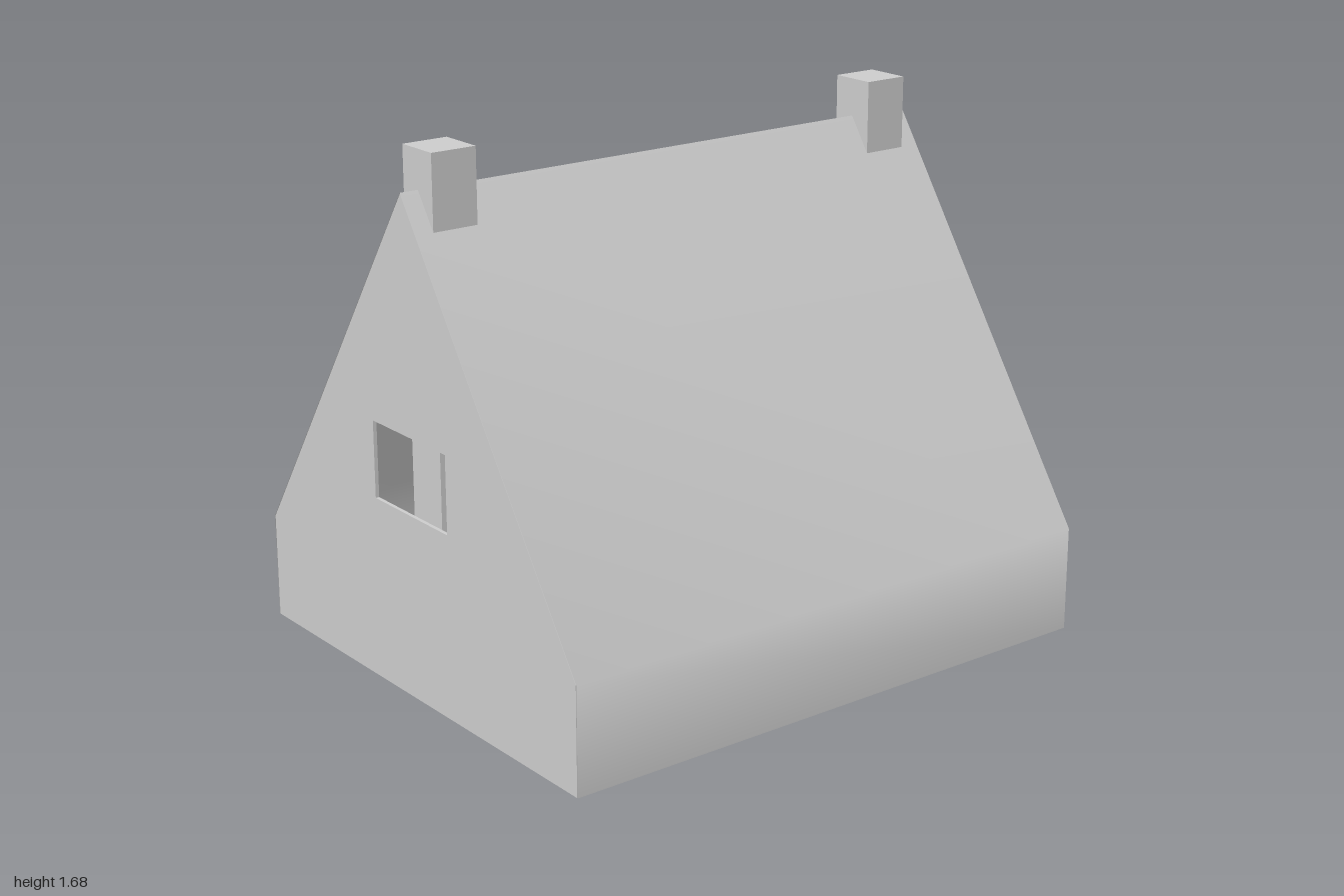
import * as THREE from 'three';

const HALF = 0.825, EAVE = 0.34, RIDGE = 1.56, FRONT = 1, BACK = -0.92;

// Builds a sheet from right-hand points; side = -1 mirrors it across x = 0.
// smooth shares normals between its triangles.
function sheet(points, triangles, side, smooth) {
  let geometry = new THREE.BufferGeometry();
  geometry.setAttribute('position', new THREE.Float32BufferAttribute(
    points.flatMap(([x, y, z]) => [x * side, y, z]), 3));
  geometry.setIndex(triangles.flatMap(([a, b, c]) => (side > 0 ? [a, b, c] : [a, c, b])));
  if (!smooth) geometry = geometry.toNonIndexed();
  geometry.computeVertexNormals();
  return geometry;
}

export function createModel() {
  const tent = new THREE.Group();
  tent.name = 'tent';
  const canvas = new THREE.MeshStandardMaterial({ color: 0xcccccc, side: THREE.DoubleSide });
  canvas.name = 'light grey';

  const add = (name, geometry) => {
    const mesh = new THREE.Mesh(geometry, canvas);
    mesh.name = name;
    tent.add(mesh);
    return mesh;
  };

  // Front gable with a rectangular window
  const inset = 0.003;
  const gable = new THREE.Shape([
    [-HALF + inset, 0], [HALF - inset, 0], [HALF - inset, EAVE],
    [0, RIDGE - inset], [-HALF + inset, EAVE],
  ].map(([x, y]) => new THREE.Vector2(x, y)));
  gable.holes.push(new THREE.Path([
    [-0.195, 0.585], [-0.195, 0.83], [0.195, 0.83], [0.195, 0.585],
  ].map(([x, y]) => new THREE.Vector2(x, y))));
  add('frontGable', new THREE.ExtrudeGeometry(gable, { depth: 0.012, bevelEnabled: false }))
    .position.z = FRONT - 0.012;

  // Key points of the rear opening
  const apex = [0, 1.35, BACK];
  const tip = [0.41, 0, -1];
  const inner = [0.41, 0, BACK];
  const hinge = [0.61, 0, BACK];

  for (const [label, side] of [['left', 1], ['right', -1]]) {
    // Sloping roof running softly into the low side wall
    const profile = [[0, RIDGE], [HALF, EAVE], [HALF, 0]];
    const points = profile.flatMap(([x, y]) => [[x, y, FRONT], [x, y, BACK]]);
    add(label + 'Roof', sheet(points, [[0, 2, 3], [0, 3, 1], [2, 4, 5], [2, 5, 3]], side, true));

    // Rear panel with its door flap pulled outwards
    add(label + 'RearPanel', sheet(
      [apex, [0, RIDGE, BACK], [HALF, EAVE, BACK], [HALF, 0, BACK], hinge, tip],
      [[0, 1, 2], [0, 2, 3], [0, 3, 4], [0, 4, 5]], side, true));

    // Folded inner side, underside and lining of the flap
    add(label + 'FlapFold', sheet([apex, tip, inner, hinge],
      [[0, 1, 2], [1, 3, 2], [0, 2, 3]], side, false));
  }

  // Square poles rising through the ridge
  for (const [name, z] of [['frontPole', 0.865], ['rearPole', -0.78]]) {
    add(name, new THREE.BoxGeometry(0.15, 1.68, 0.15)).position.set(0, 0.84, z);
  }
  return tent;
}
